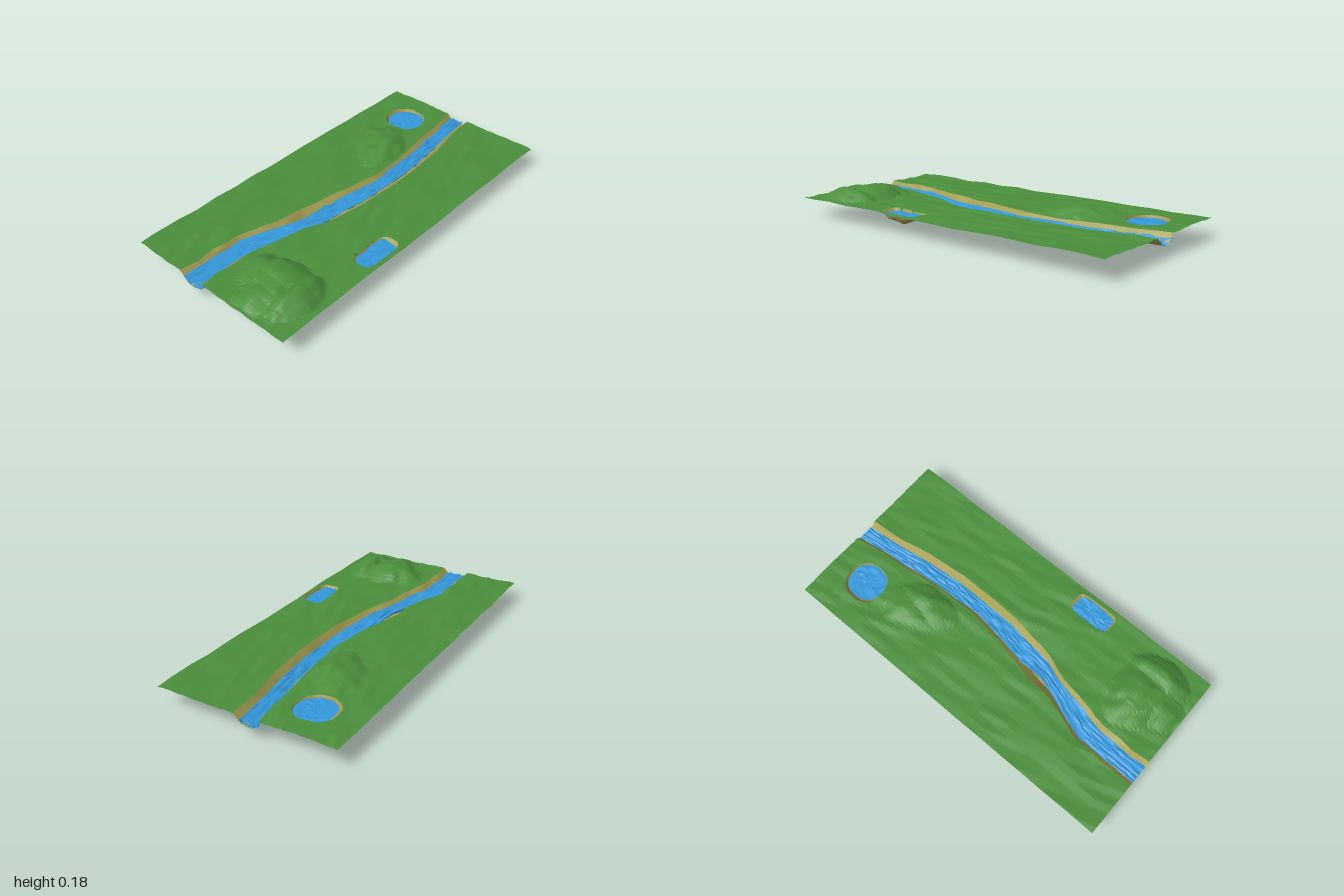
import * as THREE from 'three';

const BASE = 0.115;
// river course: x, north sand, north water, south water, south sand (z values)
const COURSE = [
  [-1, -0.19, -0.165, -0.045, -0.04], [-0.8, -0.19, -0.165, -0.05, -0.04],
  [-0.65, -0.18, -0.16, -0.045, -0.035], [-0.5, -0.14, -0.11, -0.01, 0.01],
  [-0.4, -0.115, -0.07, 0.02, 0.03], [-0.3, -0.1, -0.04, 0.04, 0.06],
  [-0.2, -0.08, -0.035, 0.05, 0.09], [-0.1, -0.06, -0.045, 0.06, 0.1],
  [0, -0.045, -0.035, 0.075, 0.125], [0.2, -0.01, 0, 0.08, 0.13],
  [0.4, -0.01, 0, 0.08, 0.125], [0.6, -0.03, -0.02, 0.06, 0.1],
  [0.8, -0.06, -0.05, 0.03, 0.07], [1, -0.085, -0.078, 0.008, 0.045],
];
// ponds: centre, rim radii, squareness, deepest offset and depth
const PONDS = [
  { x: 0.775, z: -0.25, rx: 0.11, rz: 0.112, p: 2.3, dx: -0.035, dz: 0, depth: 0.113 },
  { x: -0.28, z: 0.415, rx: 0.125, rz: 0.06, p: 5, dx: 0, dz: 0.01, depth: 0.066 },
];
// hills: x, z, height, radius x, radius z
const HILLS = [
  [-0.75, 0.2, 0.072, 0.16, 0.2], [-0.78, 0.36, 0.066, 0.19, 0.1], [-0.86, 0.22, 0.048, 0.12, 0.13],
  [0.43, -0.13, 0.045, 0.19, 0.1], [0.48, -0.21, 0.03, 0.17, 0.13],
];

const lerp = THREE.MathUtils.lerp;

function hash(i, j) {
  const s = Math.sin(i * 127.1 + j * 311.7 + 17.3) * 43758.5453;
  return (s - Math.floor(s)) * 2 - 1;
}

// faceted noise: linear over the triangles of a lattice
function facet(x, z, sx, sz) {
  const u = x / sx, v = z / sz, i = Math.floor(u), j = Math.floor(v), a = u - i, b = v - j;
  const h10 = hash(i + 1, j), h01 = hash(i, j + 1);
  if (a + b < 1) return hash(i, j) * (1 - a - b) + h10 * a + h01 * b;
  return hash(i + 1, j + 1) * (a + b - 1) + h10 * (1 - b) + h01 * (1 - a);
}

function courseAt(x) {
  let k = 0;
  while (k < COURSE.length - 2 && x > COURSE[k + 1][0]) k++;
  const a = COURSE[k], b = COURSE[k + 1], t = (x - a[0]) / (b[0] - a[0]);
  return a.map((v, i) => lerp(v, b[i], t));
}

function pondDist(p, x, z) {
  const d = Math.abs((x - p.x) / p.rx) ** p.p + Math.abs((z - p.z) / p.rz) ** p.p;
  return d ** (1 / p.p);
}

function landHeight(x, z) {
  let hill = 0;
  for (const [hx, hz, h, rx, rz] of HILLS) {
    const d = Math.hypot((x - hx) / rx, (z - hz) / rz) + 0.13 * facet(x, z, 0.06, 0.05);
    if (d < 1) hill = Math.max(hill, h * Math.min(1, 1.05 * (1 - Math.max(d, 0) ** 1.5)));
  }
  return BASE + 0.006 * facet(x, z, 0.13, 0.045) + hill;
}

// surface from a grid of points, keeping only the cells that pass the test
function gridMesh(name, color, nu, nv, point, keep = () => true) {
  const pos = [];
  for (let i = 0; i < nu; i++) for (let j = 0; j < nv; j++) {
    const a = point(i, j), b = point(i, j + 1), c = point(i + 1, j + 1), d = point(i + 1, j);
    for (const tri of [[a, b, c], [a, c, d]]) {
      const cx = (tri[0][0] + tri[1][0] + tri[2][0]) / 3, cz = (tri[0][2] + tri[1][2] + tri[2][2]) / 3;
      if (keep(cx, cz, j)) pos.push(...tri.flat());
    }
  }
  const geo = new THREE.BufferGeometry();
  geo.setAttribute('position', new THREE.Float32BufferAttribute(pos, 3));
  geo.computeVertexNormals();
  const mesh = new THREE.Mesh(geo, new THREE.MeshStandardMaterial({ color, flatShading: true, side: THREE.DoubleSide }));
  mesh.name = name;
  return mesh;
}

const NX = 120, SIDE = 34, BED = 10, ROWS = SIDE * 2 + BED;

// ground point; rows follow the banks so that the sand has clean edges
function ground(i, j) {
  let x = -1 + (2 * i) / NX, z, y;
  const [, n, , , s] = courseAt(x);
  const wob = 0.008 * facet(x, 3, 0.09, 1);
  const north = n + wob, south = s - wob;
  if (j <= SIDE) z = lerp(-0.5, north, j / SIDE);
  else if (j >= SIDE + BED) z = lerp(south, 0.5, (j - SIDE - BED) / SIDE);
  else {
    // river bed
    const t = (j - SIDE) / BED;
    z = lerp(north, south, t);
    const dip = Math.min(1, 3.2 * Math.min(t, 1 - t));
    const pit = Math.max(0, 1 - Math.hypot((x + 0.78) / 0.12, (z + 0.125) / 0.045));
    const rim = landHeight(x, t < 0.5 ? north : south);
    y = lerp(rim, 0.068 + 0.012 * facet(x, z, 0.12, 0.05), dip) - 0.045 * pit;
    return [x, y, z];
  }
  for (const p of PONDS) {
    // pull nearby vertices onto the pond rim
    let d = pondDist(p, x, z);
    if (d > 0.9 && d < 1.1) {
      x = p.x + (x - p.x) / d;
      z = p.z + (z - p.z) / d;
      d = 1;
    }
    if (d < 1) {
      const q = Math.min(1, Math.hypot((x - p.x - p.dx) / p.rx, (z - p.z - p.dz) / p.rz));
      const wall = Math.min(1, (1 - d) * 3.5);
      const deep = p.depth * (0.6 * wall + 0.4 * Math.max(0, 1 - 1.6 * q));
      const rough = 0.008 * wall * facet(x, z, 0.05, 0.04);
      return [x, Math.max(0, landHeight(x, z) - deep + rough), z];
    }
  }
  return [x, landHeight(x, z), z];
}

const inPond = (x, z) => PONDS.some((p) => pondDist(p, x, z) < 0.99);
const isSand = (x, z, j) => (j >= SIDE && j < SIDE + BED) || inPond(x, z);

export function createModel() {
  const model = new THREE.Group();
  model.name = 'riverLandscape';

  model.add(gridMesh('grassland', 0x4b8f3c, NX, ROWS, ground, (x, z, j) => !isSand(x, z, j)));
  model.add(gridMesh('sandBanksAndBeds', 0xa39d50, NX, ROWS, ground, isSand));

  // river water: rippled top and sagging underside
  const RN = 60, RW = 12;
  const water = (under) => (i, j) => {
    const x = -1 + (2 * i) / RN, t = j / RW;
    const [, , n, s] = courseAt(x);
    const edge = j === 0 || j === RW;
    const z = lerp(n - 0.008, s + 0.008, t) + (edge ? 0 : 0.003 * hash(i, j + 50));
    const y = 0.093 + (edge ? 0 : 0.005 * hash(Math.floor(i / 2), j));
    return [x, under && !edge ? 0.093 - 0.026 * Math.sin(Math.PI * t) ** 0.6 + 0.005 * hash(i, j + 90) : y, z];
  };
  model.add(gridMesh('riverSurface', 0x3498db, RN, RW, water(false)));
  model.add(gridMesh('riverUnderside', 0x3498db, RN, RW, water(true)));

  // pond water: rippled discs reaching to the rims
  PONDS.forEach((p, k) => {
    const N = 20, R = 4;
    model.add(gridMesh(k ? 'frontPondWater' : 'backPondWater', 0x3498db, N, R, (i, j) => {
      const a = (-2 * Math.PI * (i % N)) / N, c = Math.cos(a), s = Math.sin(a);
      const rad = ((k ? 1.02 : 0.95) * j) / R / (Math.abs(c) ** p.p + Math.abs(s) ** p.p) ** (1 / p.p);
      const y = 0.104 + (j ? 0.003 * hash(i % N, j + 20 * k) : 0);
      return [p.x + c * rad * p.rx, y, p.z + s * rad * p.rz + (k ? 0 : 0.012)];
    }));
  });

  return model;
}
